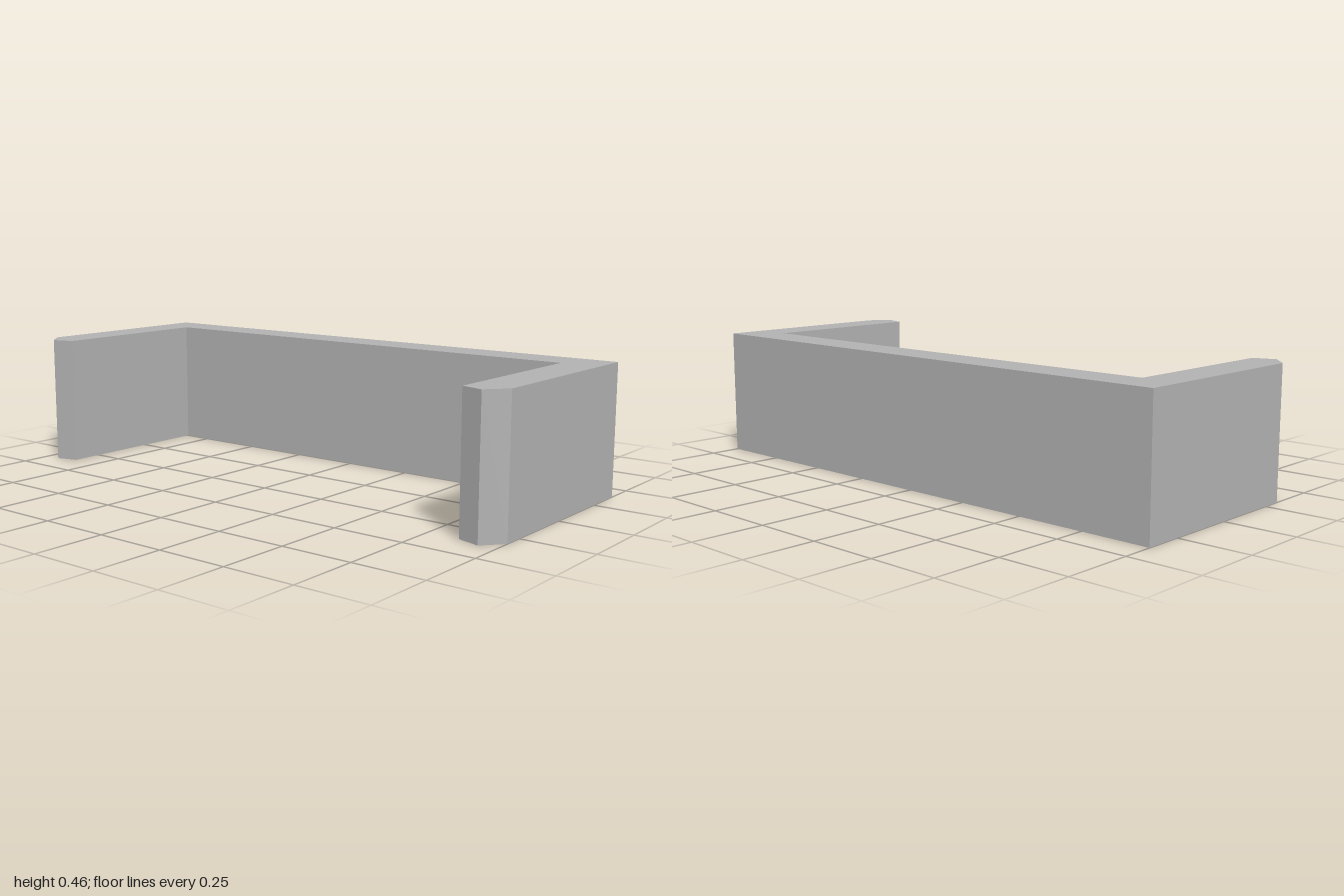
import * as THREE from 'three';

export function createModel() {
  const group = new THREE.Group();
  group.name = 'bracket';
  const grey = new THREE.MeshStandardMaterial({ color: 0xb2b2b2 });
  grey.name = 'plain grey';

  // Half of the C-shaped plan: outer corner, chamfered arm tip, inner corner
  const half = [[0.388, 1], [-0.32, 1], [-0.388, 0.94], [-0.365, 0.862], [0.25, 0.862]];
  const mirrored = half.map(([x, y]) => [x, -y]).reverse();
  const outline = [...half, ...mirrored].map(([x, y]) => new THREE.Vector2(x, y));

  // Extrude the plan upward into the channel
  const geometry = new THREE.ExtrudeGeometry(new THREE.Shape(outline), {
    depth: 0.461,
    bevelEnabled: false,
  });
  geometry.rotateX(-Math.PI / 2);

  const channel = new THREE.Mesh(geometry, grey);
  channel.name = 'channelWithChamferedArms';
  group.add(channel);
  return group;
}
